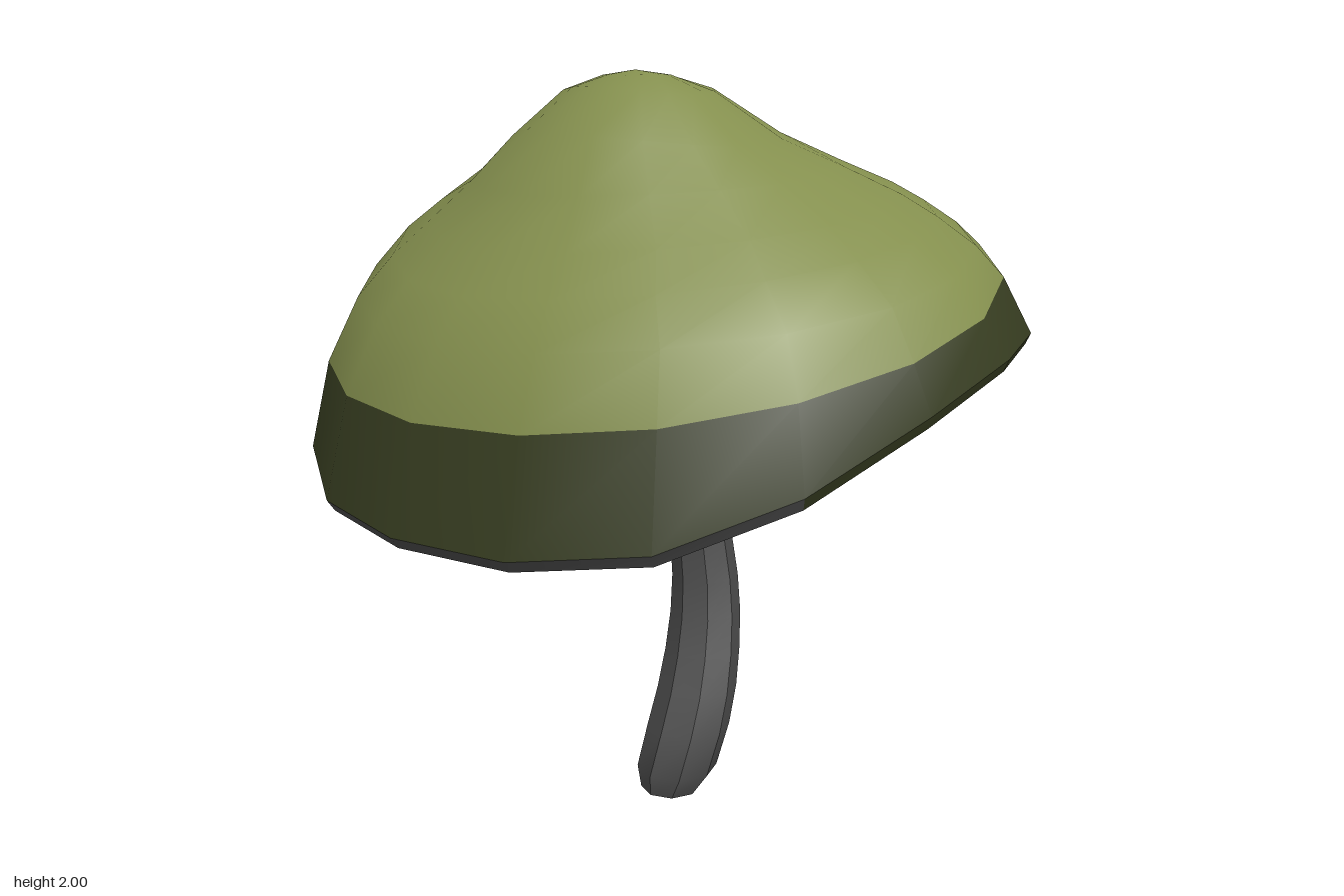
import * as THREE from 'three';
import { toCreasedNormals } from 'three/addons/utils/BufferGeometryUtils.js';

const paint = (name, color) => {
  const m = new THREE.MeshStandardMaterial({ color });
  m.name = name;
  return m;
};

// Skins closed rings, listed so that the outside is seen with the first ring on top.
// slot(row, column) picks the material of each quad.
function loft(rings, slot = () => 0) {
  const n = rings[0].length;
  const buckets = [[], []];
  for (let i = 0; i < rings.length - 1; i++) {
    for (let j = 0; j < n; j++) {
      const a = i * n + j, b = i * n + (j + 1) % n;
      buckets[slot(i, j)].push(a, a + n, b, b, a + n, b + n);
    }
  }
  const geo = new THREE.BufferGeometry();
  geo.setAttribute('position', new THREE.Float32BufferAttribute(rings.flat(2), 3));
  geo.setIndex(buckets.flat());
  geo.addGroup(0, buckets[0].length, 0);
  geo.addGroup(buckets[0].length, buckets[1].length, 1);
  geo.computeVertexNormals();
  return geo;
}

// Tilted cap ring: front z,y, back z,y, half width, side heights at -x and +x, and extra droop
const CAP_SIDES = 18;
function capRing([zF, yF, zB, yB, w, yL, yR, droop = 0]) {
  return Array.from({ length: CAP_SIDES }, (_, j) => {
    const a = j / CAP_SIDES * Math.PI * 2;
    const s = Math.sin(a), c = Math.cos(a);
    const side = (yL + yR) / 2 + (yR - yL) / 2 * s;
    // the -x half droops less, its back corner not at all
    const share = s >= 0 ? 1 : c > 0 ? 0.55 : 0;
    const sag = droop * share * c * c * (1 - c * c);
    const y = side + (yF - yB) / 2 * c + ((yF + yB) / 2 - side) * c * c - sag;
    return [w * s, y, (zF + zB) / 2 + (zF - zB) / 2 * c];
  });
}

// Stem ring: centre, radius, forward slope and optional radius factor per corner
const STEM_SIDES = 8;
function stemRing([x, y, z, r, slope = 0, factors = []]) {
  return Array.from({ length: STEM_SIDES }, (_, j) => {
    const a = j / STEM_SIDES * Math.PI * 2;
    const q = r * (factors[j] ?? 1);
    return [x + q * Math.sin(a), y - slope * q * Math.cos(a), z + q * Math.cos(a)];
  });
}

export function createModel() {
  const olive = paint('olive', 0x848f4e);
  const darkOlive = paint('dark olive', 0x363c20);
  const darkGrey = paint('dark grey', 0x4b4b4b);
  const lightGrey = paint('light grey', 0xb4b4b4);

  const model = new THREE.Group();
  model.name = 'mushroom';
  const add = (name, geo, mat) => {
    const mesh = new THREE.Mesh(geo, mat);
    mesh.name = name;
    model.add(mesh);
  };

  // Cap top with its dark lower band
  const rim = [0.92, 0.963, -0.918, 1.445, 0.952, 1.345, 1.315, 0.27];
  const top = [
    [0.11, 2.0, 0.11, 2.0, 0, 2.0, 2.0],
    [0.19, 1.985, 0.02, 1.985, 0.09, 1.988, 1.988],
    [0.27, 1.96, -0.07, 1.965, 0.21, 1.94, 1.94],
    [0.4, 1.85, -0.27, 1.86, 0.35, 1.83, 1.82],
    [0.5, 1.71, -0.45, 1.78, 0.48, 1.775, 1.745],
    [0.6, 1.585, -0.59, 1.725, 0.62, 1.72, 1.66],
    [0.69, 1.49, -0.66, 1.685, 0.72, 1.66, 1.595],
    [0.77, 1.385, -0.73, 1.64, 0.83, 1.56, 1.51],
    [0.85, 1.22, -0.78, 1.6, 0.91, 1.41, 1.41],
    rim,
  ];
  add('cap', loft(top.map(capRing), (i) => (i === top.length - 2 ? 1 : 0)), [olive, darkOlive]);

  // Rounded lip under the rim, grey along the front
  const edge = [0.9, 0.935, -0.905, 1.42, 0.938, 1.315, 1.285, 0.27];
  const lip = [0.85, 0.96, -0.87, 1.415, 0.9, 1.315, 1.285, 0.26];
  const inner = [0.81, 1.01, -0.82, 1.415, 0.85, 1.325, 1.295, 0.2];
  const isFront = (i, j) => (j < 3 || j >= CAP_SIDES - 3 ? 1 : 0);
  const lipShape = toCreasedNormals(loft([rim, edge, lip].map(capRing), isFront), 0.6);
  add('capLip', lipShape, [darkOlive, darkGrey]);
  add('capLipInside', loft([lip, inner].map(capRing)), darkOlive);

  // Gently domed underside of the cap
  const middle = [0.42, 1.165, -0.4, 1.36, 0.45, 1.305, 1.29];
  const centre = [0.05, 1.29, 0.05, 1.29, 0, 1.29, 1.29];
  add('capUnderside', loft([inner, middle, centre].map(capRing)), darkOlive);

  // Pale neck with an uneven flare beneath the cap
  const joint = [-0.065, 0.94, -0.185, 0.087];
  const neck = [
    [-0.035, 1.27, 0.06, 0.28, 0.28, [1.1, 0.86, 1.17, 0.95, 0.98, 1.2, 1, 0.9]],
    [-0.05, 1.2, -0.035, 0.108, 0.38],
    [-0.055, 1.14, -0.08, 0.104, 0.36],
    [-0.06, 1.05, -0.138, 0.098, 0.25],
    joint,
  ];
  add('neck', toCreasedNormals(loft(neck.map(stemRing)), 0.6), lightGrey);

  // Bent dark stem with a rounded foot
  const stem = [
    joint,
    [-0.05, 0.8, -0.19, 0.086],
    [-0.035, 0.7, -0.192, 0.089],
    [-0.018, 0.6, -0.189, 0.094],
    [0, 0.5, -0.171, 0.1],
    [0.018, 0.4, -0.139, 0.106],
    [0.034, 0.3, -0.098, 0.112],
    [0.042, 0.2, -0.053, 0.116],
    [0.042, 0.09, -0.005, 0.112],
    [0.035, 0.03, 0.015, 0.083],
    [0.02, 0, 0.02, 0],
  ];
  add('stem', toCreasedNormals(loft(stem.map(stemRing)), 0.6), darkGrey);

  return model;
}
